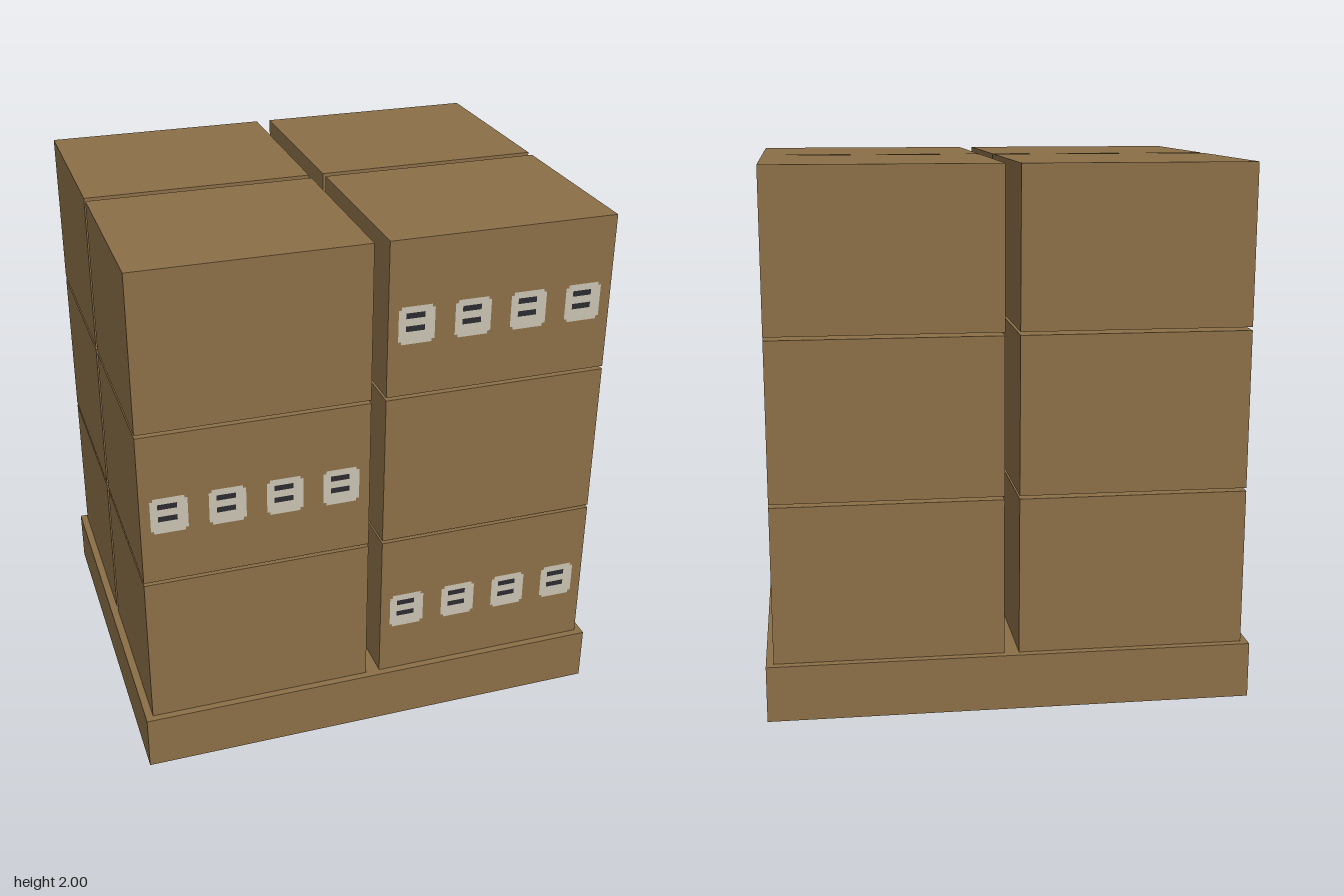
import * as THREE from 'three';

const cardboard = new THREE.MeshStandardMaterial({ color: 0x8b6f47, side: THREE.DoubleSide });
cardboard.name = 'cardboard brown';
const paper = new THREE.MeshStandardMaterial({ color: 0xc8c2b0 });
paper.name = 'label paper';
const ink = new THREE.MeshStandardMaterial({ color: 0x2a2a30 });
ink.name = 'label ink';

// Label outline with small stepped corners
function labelGeometry(w, h, s) {
  const a = w / 2, b = h / 2;
  const shape = new THREE.Shape();
  shape.moveTo(-a + s, -b);
  for (const [x, y] of [
    [a - s, -b], [a - s, -b + s], [a, -b + s],
    [a, b - s], [a - s, b - s], [a - s, b],
    [-a + s, b], [-a + s, b - s], [-a, b - s],
    [-a, -b + s], [-a + s, -b + s],
  ]) shape.lineTo(x, y);
  return new THREE.ShapeGeometry(shape);
}

export function createModel() {
  const model = new THREE.Group();
  model.name = 'boxStack';

  const add = (parent, name, geometry, material, x, y, z) => {
    const mesh = new THREE.Mesh(geometry, material);
    mesh.name = name;
    mesh.position.set(x, y, z);
    parent.add(mesh);
    return mesh;
  };

  // Hollow base tray, open underneath (bottom face dropped)
  const baseGeo = new THREE.BoxGeometry(1.8, 0.21, 1.5);
  const faces = Array.from(baseGeo.index.array);
  faces.splice(18, 6);
  baseGeo.setIndex(faces);
  baseGeo.clearGroups();
  add(model, 'base', baseGeo, cardboard, 0, 0.105, 0);

  // Three layers of two by two cartons
  const frontGeo = new THREE.BoxGeometry(0.845, 0.588, 0.695);
  const backGeo = new THREE.BoxGeometry(0.845, 0.588, 0.723);
  const labelGeo = labelGeometry(0.135, 0.142, 0.011);
  const barGeo = new THREE.PlaneGeometry(0.07, 0.021);

  for (let row = 0; row < 3; row++) {
    const y = 0.506 + row * 0.6;
    for (let col = 0; col < 2; col++) {
      const x = col ? 0.45 : -0.45;
      add(model, 'backCarton', backGeo, cardboard, x, y, -0.3635);
      const carton = add(model, 'frontCarton', frontGeo, cardboard, x, y, 0.3775);

      // Labels on alternating front cartons
      if ((row + col) % 2 === 0) continue;
      for (let i = 0; i < 4; i++) {
        const label = add(carton, 'label', labelGeo, paper,
          -0.002 + (i - 1.5) * 0.2105, -0.023, 0.3475 + 0.003);
        for (const by of [0.037, -0.012]) add(label, 'labelBar', barGeo, ink, -0.006, by, 0.002);
      }
    }
  }
  return model;
}
